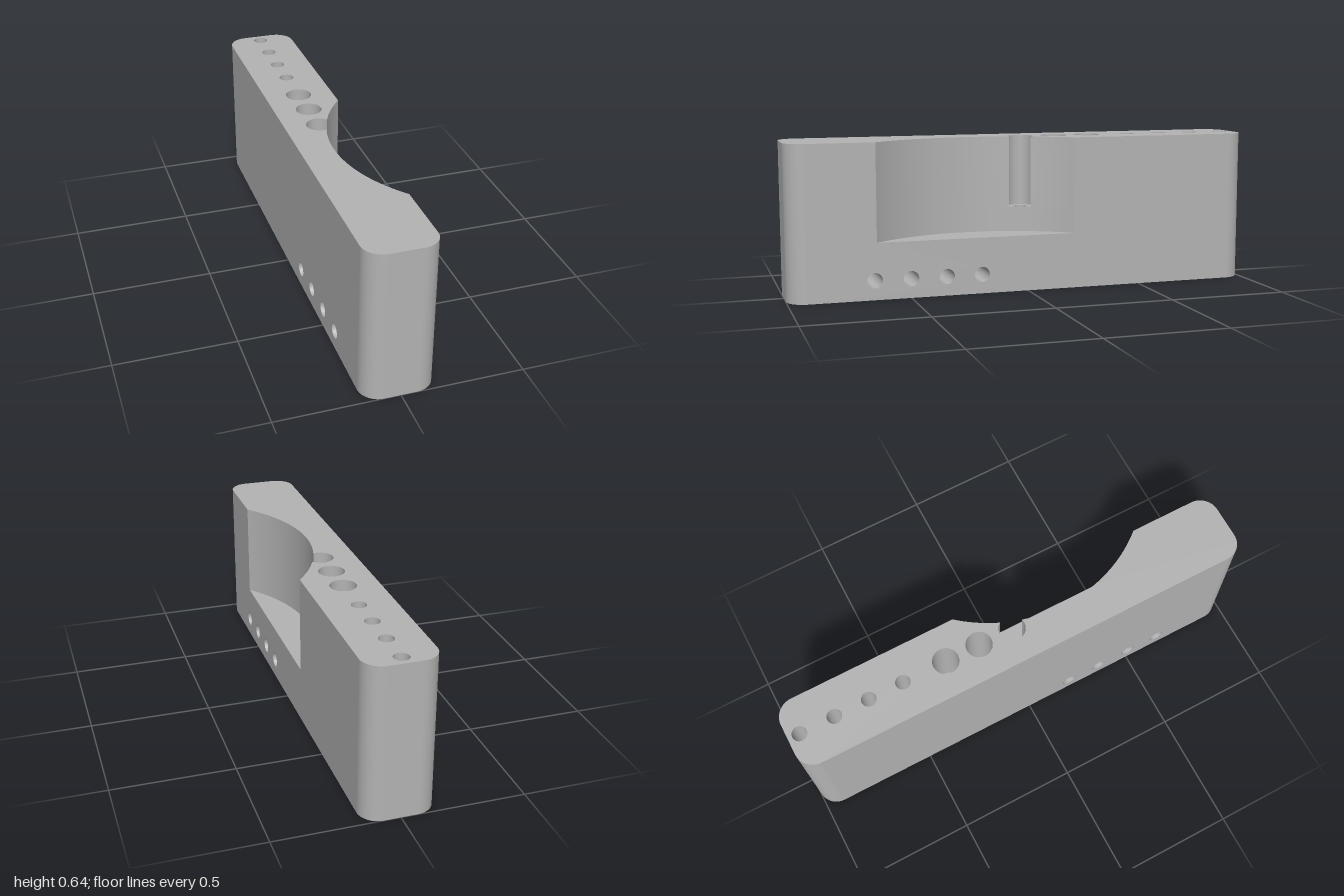
import * as THREE from 'three';

const W = 0.147, H = 0.64, L = 1, C = 0.08;      // half width, height, half length, corner radius
const FLOOR = 0.235, LEDGE = 0.34;               // pocket floor and counterbore ledge heights
const PLAIN = [-0.95, -0.8, -0.65, -0.5], BORED = [-0.31, -0.16, -0.01];
const SIDE = [0.2, 0.35, 0.5, 0.65], SIDE_Y = 0.08;
const R_PLAIN = 0.031, R_SMALL = 0.028, R_BORE = 0.055, R_SIDE = 0.032;

// Round pocket cut into the +x side
const Z0 = -0.205, Z1 = 0.64, HALF = (Z1 - Z0) / 2, DEPTH = 0.157;
const R = (HALF * HALF + DEPTH * DEPTH) / (2 * DEPTH);
const PX = W - DEPTH + R, PZ = (Z0 + Z1) / 2;
const T0 = Math.atan2(W - PX, HALF), T1 = Math.atan2(W - PX, -HALF);

// Where the last counterbore breaks into the pocket
const BZ = BORED[2], D = Math.hypot(PX, PZ - BZ), PHI = Math.atan2(-PX, BZ - PZ);
const A = Math.acos((R * R + D * D - R_BORE * R_BORE) / (2 * R * D));
const B = Math.acos((R_BORE * R_BORE + D * D - R * R) / (2 * R_BORE * D));

// Angles run from +z towards +x, as in CylinderGeometry
function arc(x, z, r, a, b, n) {
  return Array.from({ length: n + 1 }, (_, i) => {
    const t = a + (b - a) * i / n;
    return new THREE.Vector2(x + r * Math.sin(t), z + r * Math.cos(t));
  });
}

// Turn a surface inside out
function flip(g) {
  const ix = g.index.array, n = g.attributes.normal.array;
  for (let i = 0; i < ix.length; i += 3) [ix[i], ix[i + 1]] = [ix[i + 1], ix[i]];
  for (let i = 0; i < n.length; i++) n[i] = -n[i];
  return g;
}

function face(points, holes = []) {
  const s = new THREE.Shape(points);
  for (const [u, v, r] of holes) s.holes.push(new THREE.Path(arc(u, v, r, 0, Math.PI * 2, 32)));
  return new THREE.ShapeGeometry(s);
}

function cap(points, y, up, holes) {
  const g = face(points, holes).rotateX(Math.PI / 2).translate(0, y, 0);
  return up ? flip(g) : g;
}

function wall(x, z, r, y0, y1, a = 0, b = Math.PI * 2, n = 32) {
  return new THREE.CylinderGeometry(r, r, y1 - y0, n, 1, true, a, b - a).translate(x, (y0 + y1) / 2, z);
}

export function createModel() {
  const group = new THREE.Group();
  const grey = new THREE.MeshStandardMaterial({ color: 0xb3b3b3, side: THREE.DoubleSide });
  grey.name = 'grey';
  const add = (name, geometry) => {
    const mesh = new THREE.Mesh(geometry, grey);
    mesh.name = name;
    group.add(mesh);
  };
  const Q = Math.PI / 2;
  const corners = [[1, 1], [1, -1], [-1, -1], [-1, 1]].map(([sx, sz]) => [sx * (W - C), sz * (L - C)]);
  const cornerArcs = corners.map(([x, z], i) => arc(x, z, C, i * Q, (i + 1) * Q, 12));
  const dip = arc(0, BZ, R_BORE, PHI + Math.PI - B, PHI - Math.PI + B, 28);
  const plain = PLAIN.map(z => [0, z, R_PLAIN]);
  const small = BORED.map(z => [0, z, R_SMALL]);

  // Top and bottom
  add('bottomFace', cap(cornerArcs.flat(), 0, false, [...plain, ...small]));
  add('topFace', cap([
    ...cornerArcs[0],
    ...arc(PX, PZ, R, T0, PHI + A, 32), ...dip.slice(1, -1), ...arc(PX, PZ, R, PHI - A, T1, 16),
    ...cornerArcs.slice(1).flat(),
  ], H, true, [...plain, ...BORED.slice(0, 2).map(z => [0, z, R_BORE])]));

  // Rounded corners and flat ends
  corners.forEach(([x, z], i) => add('roundedCorner', wall(x, z, C, 0, H, i * Q, (i + 1) * Q, 12)));
  for (const [name, turn] of [['frontEnd', 0], ['backEnd', Math.PI]]) {
    add(name, new THREE.PlaneGeometry(2 * (W - C), H).translate(0, H / 2, L).rotateY(turn));
  }

  // Long sides, with the pocket opening on the left
  const e = L - C, v = (z, y) => new THREE.Vector2(z, y);
  const sideHoles = SIDE.map(z => [z, SIDE_Y, R_SIDE]);
  const start = [v(-e, 0), v(e, 0), v(e, H)], end = v(-e, H);
  const notch = [v(Z1, H), v(Z1, FLOOR), v(Z0, FLOOR), v(Z0, H)];
  add('rightSide', face([...start, end], sideHoles).rotateY(-Q).translate(-W, 0, 0));
  add('leftSide', flip(face([...start, ...notch, end], sideHoles).rotateY(-Q).translate(W, 0, 0)));

  // Pocket
  add('pocketFloor', cap(arc(PX, PZ, R, T0, T1, 48), FLOOR, true));
  add('pocketWallLower', flip(wall(PX, PZ, R, FLOOR, LEDGE, T1, T0, 48)));
  add('pocketWallFront', flip(wall(PX, PZ, R, LEDGE, H, PHI + A, T0)));
  add('pocketWallBack', flip(wall(PX, PZ, R, LEDGE, H, T1, PHI - A, 16)));

  // Plain vertical holes
  for (const z of PLAIN) add('plainHole', flip(wall(0, z, R_PLAIN, 0, H)));

  // Counterbored holes, the last one open to the pocket
  BORED.forEach((z, i) => {
    const open = i === 2;
    const rim = open ? [...dip, ...arc(PX, PZ, R, PHI - A, PHI + A, 8).slice(1, -1)]
      : arc(0, z, R_BORE, 0, Math.PI * 2, 32).slice(0, -1);
    add('boltHole', flip(wall(0, z, R_SMALL, 0, LEDGE)));
    add('counterboreLedge', cap(rim, LEDGE, true, [small[i]]));
    add('counterboreWall', flip(open
      ? wall(0, z, R_BORE, LEDGE, H, PHI - Math.PI + B, PHI + Math.PI - B, 28)
      : wall(0, z, R_BORE, LEDGE, H)));
  });

  // Cross holes through the width
  for (const z of SIDE) {
    add('crossHole', flip(wall(0, 0, R_SIDE, -W, W).rotateZ(Q).translate(0, SIDE_Y, z)));
  }
  return group;
}
